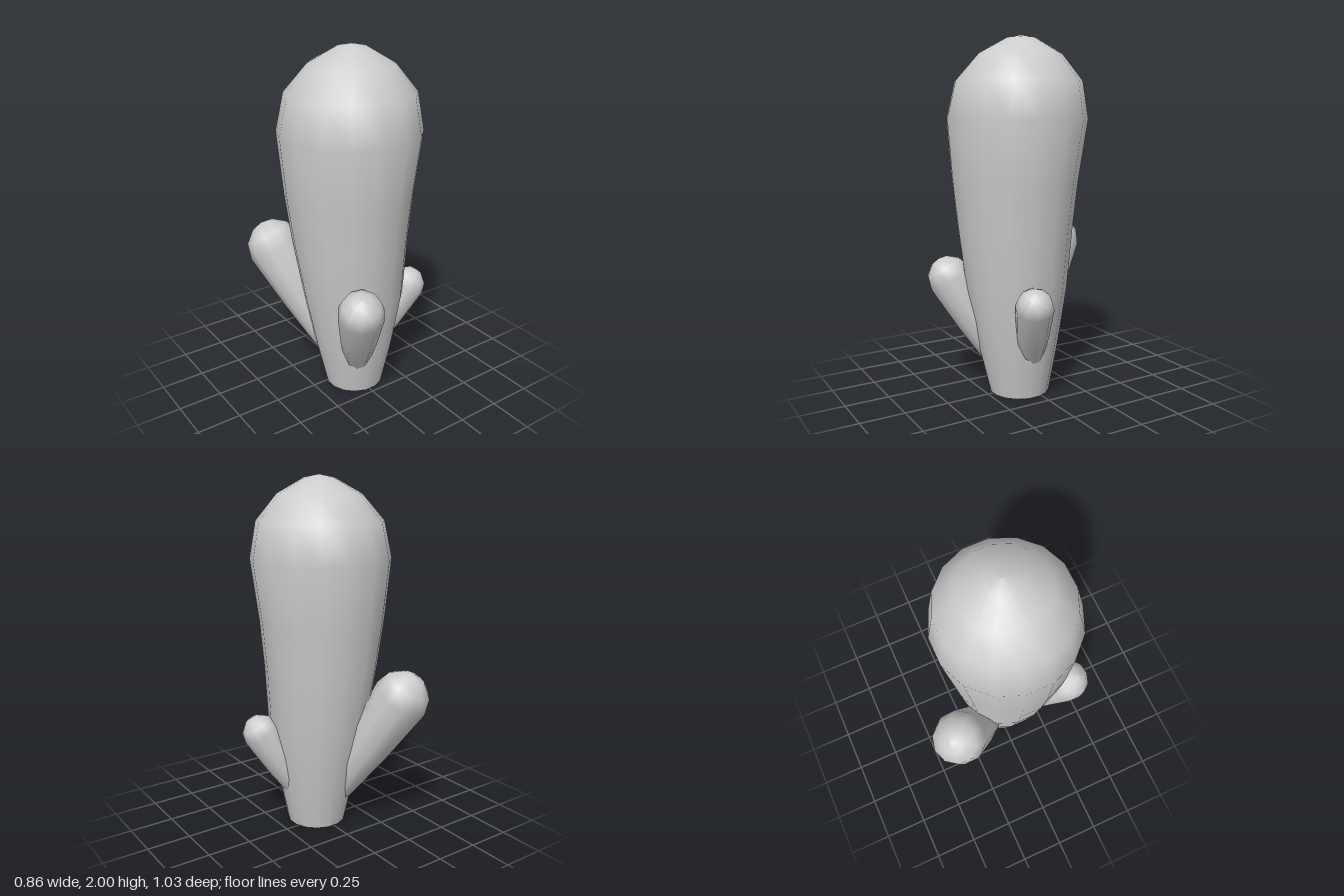
import * as THREE from 'three';

const material = new THREE.MeshStandardMaterial({ color: 0xcccccc, side: THREE.DoubleSide });

// Trunk rings: [radius, y, centre x, centre z]
const TRUNK = [
  [0.17, 0, 0.007, 0.05],
  [0.228, 0.27, 0, 0.056],
  [0.287, 0.6, -0.01, 0.06],
  [0.325, 0.94, -0.03, 0.056],
  [0.354, 1.2, -0.035, 0.053],
  [0.393, 1.55, -0.022, 0.045],
  [0.352, 1.755, -0.014, 0.04],
  [0.23, 1.9, -0.006, 0.035],
  [0.08, 1.985, 0, 0.03],
  [0, 2, 0, 0.03],
];

// Open-bottomed swelling trunk whose rings drift slightly off axis
function createTrunk() {
  const profile = TRUNK.map(([r, y]) => new THREE.Vector2(r, y));
  const geometry = new THREE.LatheGeometry(profile, 16, Math.PI / 16);
  const pos = geometry.attributes.position;
  for (let i = 0; i < pos.count; i++) {
    const [, , cx, cz] = TRUNK[i % TRUNK.length];
    pos.setX(i, pos.getX(i) + cx);
    pos.setZ(i, pos.getZ(i) + cz);
  }
  const mesh = new THREE.Mesh(geometry, material);
  mesh.name = 'trunk';
  return mesh;
}

// Tapered club-shaped arm running from a buried base to a rounded head
function createArm(name, base, head, baseRadius, headRadius) {
  const start = new THREE.Vector3(...base);
  const axis = new THREE.Vector3(...head).sub(start);
  const length = axis.length();
  const r = headRadius;
  const profile = [
    [0, -baseRadius * 0.4],
    [baseRadius * 0.7, -baseRadius * 0.25],
    [baseRadius, 0],
    [(baseRadius + r) / 2 + 0.008, length * 0.5],
    [r * 1.02, length],
    [r * 0.85, length + r * 0.58],
    [r * 0.42, length + r * 0.94],
    [0, length + r * 1.03],
  ].map(([x, y]) => new THREE.Vector2(x, y));
  const mesh = new THREE.Mesh(new THREE.LatheGeometry(profile, 10), material);
  mesh.name = name;
  mesh.position.copy(start);
  mesh.quaternion.setFromUnitVectors(new THREE.Vector3(0, 1, 0), axis.normalize());
  return mesh;
}

export function createModel() {
  const group = new THREE.Group();
  group.name = 'cactus';
  group.add(
    createTrunk(),
    createArm('frontArm', [-0.06, 0.2, 0.17], [-0.19, 0.655, 0.388], 0.07, 0.126),
    createArm('leftArm', [0.11, 0.17, 0.04], [0.328, 0.572, 0.14], 0.06, 0.103),
    createArm('backArm', [-0.08, 0.2, -0.06], [-0.28, 0.795, -0.357], 0.08, 0.157),
  );
  return group;
}
